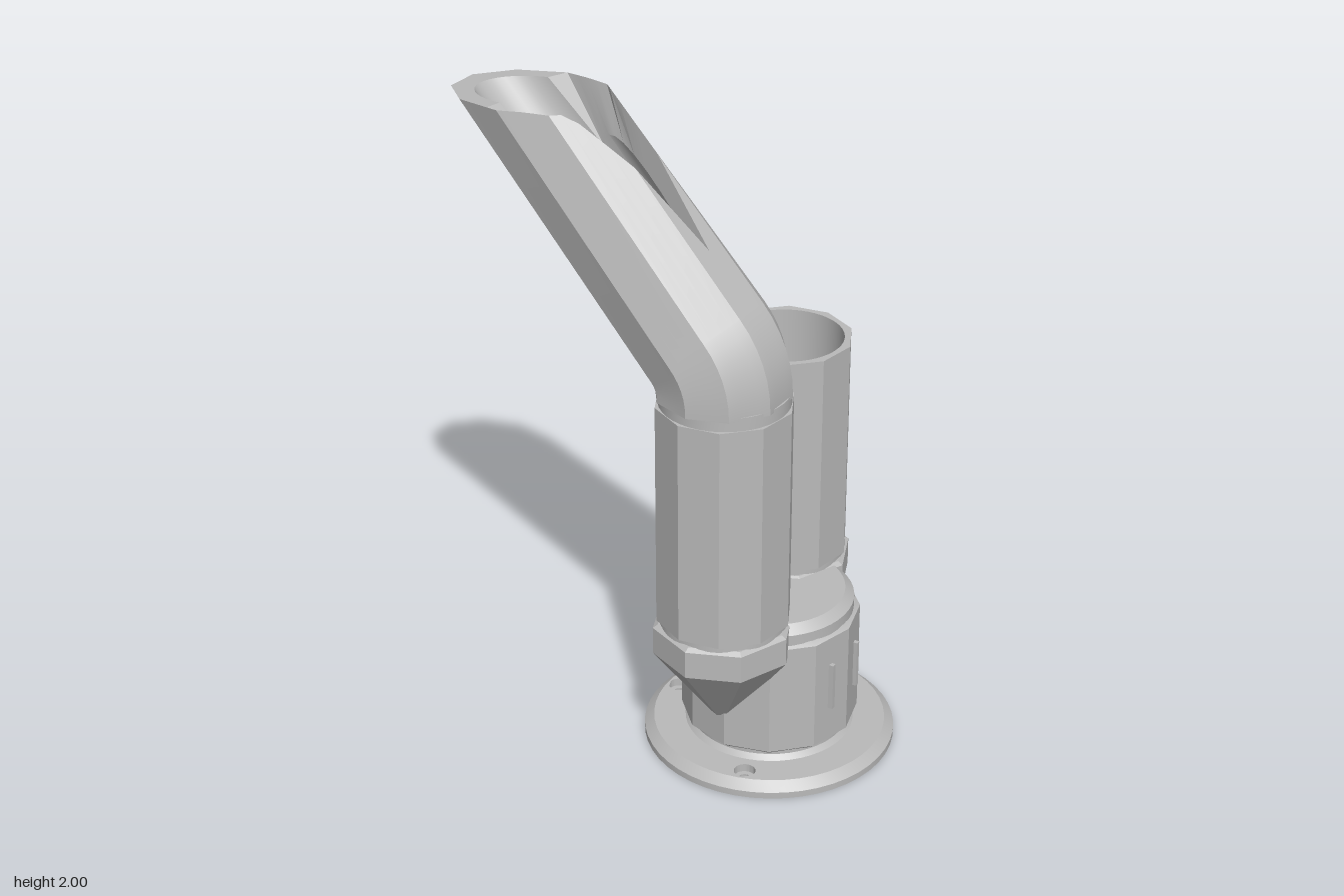
import * as THREE from 'three';
import { toCreasedNormals } from 'three/addons/utils/BufferGeometryUtils.js';

const grey = new THREE.MeshStandardMaterial({ color: 0xbababa });
grey.name = 'grey';
const V2 = (x, y) => new THREE.Vector2(x, y);

export function createModel() {
  const model = new THREE.Group();

  function add(name, geo, x = 0, y = 0, z = 0) {
    const mesh = new THREE.Mesh(toCreasedNormals(geo, 0.35), grey);
    mesh.name = name;
    mesh.position.set(x, y, z);
    model.add(mesh);
    return mesh;
  }
  const lathe = (pts, sides, start = 0) =>
    new THREE.LatheGeometry(pts.map(p => V2(...p)), sides, start);
  // upright prism from a flat shape (shape y becomes -z)
  const upright = (shape, depth) =>
    new THREE.ExtrudeGeometry(shape, { depth, bevelEnabled: false, curveSegments: 24 }).rotateX(-Math.PI / 2);
  const circle = (x, y, r, Kind = THREE.Path) => {
    const p = new Kind();
    p.absarc(x, y, r, 0, Math.PI * 2, false);
    return p;
  };

  const CX = 0.257, CZ = -0.007;

  // Base flange: two plates with stepped screw holes, the upper one bevelled
  function plate(holeRadius, depth) {
    const s = circle(0, 0, 0.378, THREE.Shape);
    for (const deg of [177, 73, -76]) {
      const a = deg * Math.PI / 180;
      s.holes.push(circle(0.312 * Math.cos(a), -0.312 * Math.sin(a), holeRadius));
    }
    return upright(s, depth);
  }
  add('baseLower', plate(0.017, 0.02), CX, 0, CZ);
  const upper = plate(0.032, 0.025);
  const up = upper.attributes.position;
  for (let i = 0; i < up.count; i++) {
    const x = up.getX(i), z = up.getZ(i);
    if (up.getY(i) > 0.01 && Math.hypot(x, z) > 0.37) up.setXYZ(i, x * 0.925, 0.025, z * 0.925);
  }
  add('baseUpper', upper, CX, 0.02, CZ);

  // Central twelve-sided body with round foot and cap
  add('bodyFoot', lathe([[0.255, 0.044], [0.24, 0.06], [0.24, 0.085]], 48), CX, 0, CZ);
  add('body', lathe([[0.24, 0.065], [0.265, 0.085], [0.265, 0.435], [0.25, 0.445], [0, 0.445]], 12), CX, 0, CZ);
  add('bodyCap', lathe([[0.247, 0.44], [0.247, 0.475], [0.22, 0.5], [0, 0.5]], 48), CX, 0, CZ);
  for (const side of [-1, 1]) {
    add('bodySlotFrame', new THREE.BoxGeometry(0.024, 0.15, 0.014), CX + 0.247, 0.27, CZ + side * 0.072);
  }

  // Pair of tubes, each with an octagonal collar and tapered support
  const turn = -9 * Math.PI / 180;
  function decagon(r) {
    const s = new THREE.Shape();
    for (let i = 0; i < 10; i++) {
      const a = turn + i * Math.PI / 5;
      s[i ? 'lineTo' : 'moveTo'](r * Math.sin(a), -r * Math.cos(a));
    }
    return s.closePath();
  }
  const tubes = [['front', 0.231, 0.222], ['back', 0.17, -0.222]];
  for (const [name, x, z] of tubes) {
    add(name + 'Collar', lathe([[0, 0.18], [0.035, 0.18], [0.21, 0.41], [0.21, 0.495], [0.195, 0.505], [0, 0.505]], 8), x, 0, z);
    add(name + 'TubeFoot', new THREE.CylinderGeometry(0.188, 0.188, 0.03, 40), x, 0.515, z);
  }
  add('frontTube', upright(decagon(0.199), 0.69), tubes[0][1], 0.52, tubes[0][2]);
  const backShape = decagon(0.199);
  backShape.holes.push(circle(0, 0, 0.172));
  add('backTube', upright(backShape, 0.69), tubes[1][1], 0.52, tubes[1][2]);

  // Two arched ties between the tubes
  const arch = new THREE.Shape([[-0.04, 0.045], [-0.04, -0.03], [-0.018, -0.03], [-0.018, -0.005], [0, 0.015],
    [0.018, -0.005], [0.018, -0.03], [0.04, -0.03], [0.04, 0.045]].map(p => V2(...p)));
  const tie = new THREE.ExtrudeGeometry(arch, { depth: 0.05, bevelEnabled: false }).rotateY(Math.PI / 2);
  for (const y of [0.8, 1.1]) add('tubeTie', tie, 0.172, y, 0.001);

  // Neck ring and bent spout
  add('neckRing', new THREE.CylinderGeometry(0.187, 0.187, 0.05, 40), 0.231, 1.225, 0.222);
  add('spout', spoutGeometry(), 0, 0, 0.222);
  return model;
}

// Ten-sided elbow pipe with a round bore, a level cut mouth and a V notch on top
function spoutGeometry() {
  const N = 40, STEPS = 6, BEND = 42.5 * Math.PI / 180;
  const PX = 0.036, PY = 1.25, REACH = 0.19;
  const pos = [], index = [];
  const outer = { a: 0.196, b: 0.199, taper: 0.034, faceted: true };
  const inner = { a: 0.138, b: 0.117, taper: 0, faceted: false };

  function ring(w, alpha, along) {
    const c = Math.cos(alpha), s = Math.sin(alpha);
    for (let j = 0; j <= N; j++) {
      const phi = (j % N) / N * Math.PI * 2;
      const face = Math.round(phi / (Math.PI / 5)) * Math.PI / 5;
      const k = w.faceted ? Math.cos(Math.PI / 10) / Math.cos(phi - face) : 1;
      const out = REACH + w.a * k * Math.cos(phi), q = k * Math.sin(phi);
      const x0 = PX + out * c, y0 = PY + out * s;
      let t = along;
      if (along === 'end') {
        // level mouth, rising slightly toward the notch
        t = (1.98 + 0.06 * (x0 + 0.635) - y0) / (c + 0.06 * s);
        if (x0 - t * s > -0.3) t = (2 - y0) / c;
        // V notch through the upper half
        if (Math.cos(phi) > -1e-6) {
          const m = 0.283, aq = Math.abs(q);
          t = Math.min(t, (w.b * aq - m * (0.18 - x0)) / (m * s + w.taper * aq));
        }
      }
      pos.push(x0 - t * s, y0 + t * c, (w.b - w.taper * Math.max(t, 0)) * q);
    }
  }

  ring(outer, 0, -0.01);
  for (let i = 0; i <= STEPS; i++) ring(outer, BEND * i / STEPS, 0);
  ring(outer, BEND, 'end');
  ring(inner, BEND, 'end');
  for (let i = STEPS; i >= 0; i--) ring(inner, BEND * i / STEPS, 0);
  ring(inner, 0, -0.04);

  const W = N + 1, rings = pos.length / 3 / W;
  for (let i = 0; i < rings - 1; i++) {
    for (let j = 0; j < N; j++) {
      const a = i * W + j, b = a + W;
      index.push(a, b, a + 1, b, b + 1, a + 1);
    }
  }
  const geo = new THREE.BufferGeometry();
  geo.setAttribute('position', new THREE.Float32BufferAttribute(pos, 3));
  geo.setIndex(index);
  return geo;
}
